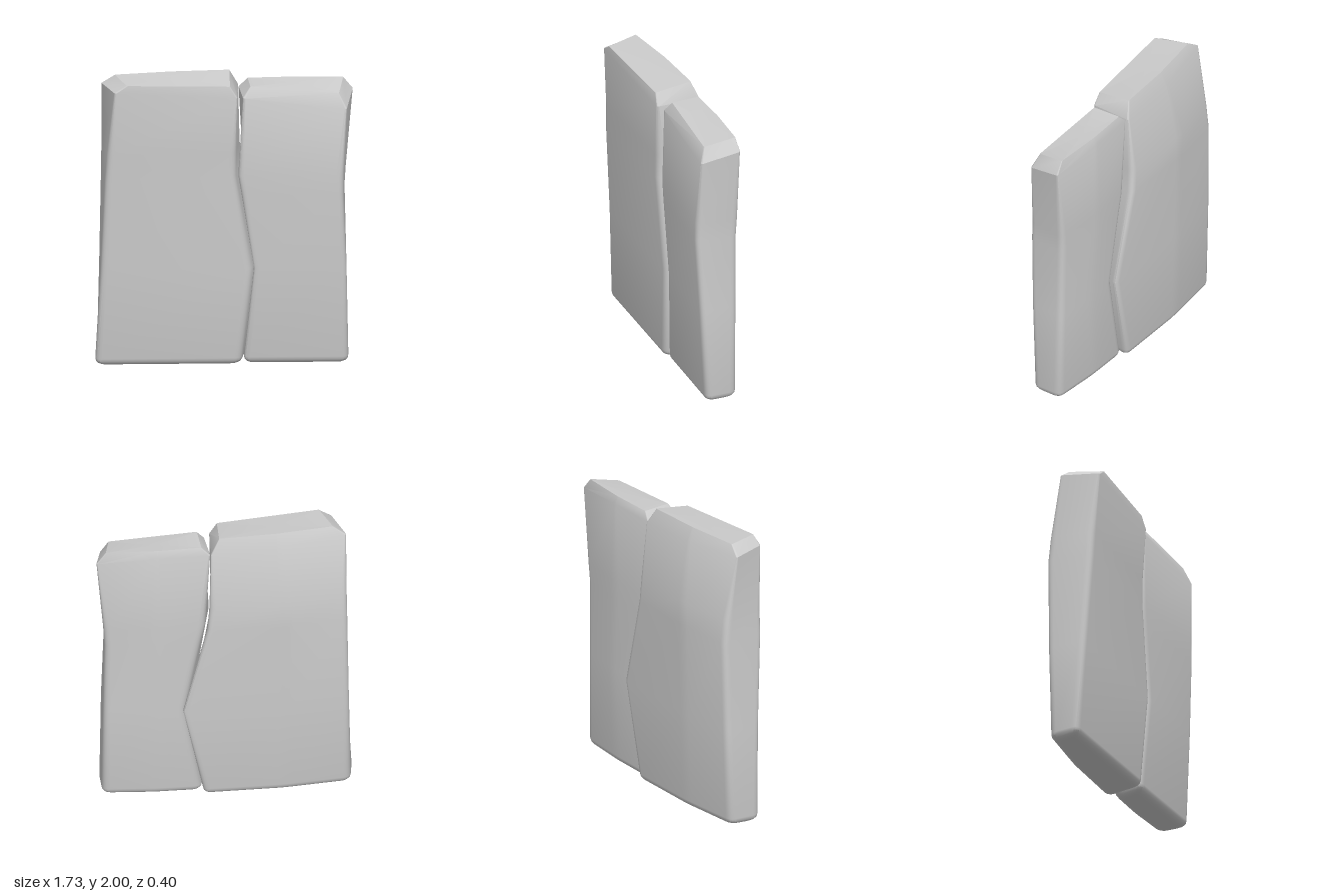
import * as THREE from 'three';
import { toCreasedNormals } from 'three/addons/utils/BufferGeometryUtils.js';

const V = (x, y, z) => new THREE.Vector3(x, y, z);
const at = (y, pts) => pts.map(([x, z]) => V(x, y, z));

// Replace every corner of a section by a short curve
function roundSection(corners, r) {
  const ring = [];
  const n = corners.length;
  corners.forEach((p, i) => {
    const toward = (q) => {
      const d = q.clone().sub(p);
      return p.clone().addScaledVector(d, Math.min(0.4, r / d.length()));
    };
    const curve = new THREE.QuadraticBezierCurve3(
      toward(corners[(i + n - 1) % n]), p, toward(corners[(i + 1) % n]));
    ring.push(...curve.getPoints(5));
  });
  return ring;
}

// Pull a section in toward its middle, at height y
function inset(corners, d, y) {
  const c = corners.reduce((s, p) => s.add(p), V(0, 0, 0)).divideScalar(corners.length);
  const pull = (a, m) => a + THREE.MathUtils.clamp(m - a, -d, d);
  return corners.map((p) => V(pull(p.x, c.x), y, pull(p.z, c.z)));
}

// Loft closed sections from bottom to top, with both ends capped
function loft(rings) {
  const pos = [];
  const tri = (...pts) => pts.forEach((p) => pos.push(p.x, p.y, p.z));
  const n = rings[0].length;
  const mid = (ring) => ring.reduce((s, p) => s.add(p), V(0, 0, 0)).divideScalar(n);
  const first = rings[0], last = rings[rings.length - 1];
  const low = mid(first), high = mid(last);
  for (let i = 0; i < n; i++) {
    const j = (i + 1) % n;
    for (let k = 0; k < rings.length - 1; k++) {
      const a = rings[k], b = rings[k + 1];
      tri(a[i], a[j], b[j]);
      tri(a[i], b[j], b[i]);
    }
    tri(low, first[j], first[i]);
    tri(high, last[i], last[j]);
  }
  const g = new THREE.BufferGeometry();
  g.setAttribute('position', new THREE.Float32BufferAttribute(pos, 3));
  return toCreasedNormals(g, 0.5);
}

// Slab: filleted foot, body sections, and a bevelled top
function slab(name, foot, body, shoulder, top) {
  const R = 0.05;
  const rings = [];
  for (let i = 0; i <= 4; i++) {
    const a = (i / 4) * Math.PI / 2;
    rings.push(roundSection(inset(foot, R * (1 - Math.sin(a)), R * (1 - Math.cos(a))), R));
  }
  body.forEach((s) => rings.push(roundSection(s, 0.045)));
  rings.push(roundSection(shoulder, 0.015), roundSection(top, 0.008));
  const mesh = new THREE.Mesh(loft(rings), new THREE.MeshStandardMaterial({ color: 0xcccccc }));
  mesh.name = name;
  return mesh;
}

export function createModel() {
  const group = new THREE.Group();
  group.name = 'splitSlab';

  // Corner order: front -x, front +x, back +x, back middle, back -x
  group.add(slab('wideSlab',
    at(0, [[-0.87, 0.1], [0.11, 0.12], [0.16, -0.17], [-0.4, -0.165], [-0.84, -0.12]]),
    [
      at(0.68, [[-0.83, 0.13], [0.17, 0.14], [0.3, -0.18], [-0.4, -0.185], [-0.83, -0.14]]),
      at(1.33, [[-0.8, 0.17], [0.065, 0.15], [0.13, -0.19], [-0.4, -0.2], [-0.82, -0.15]]),
      at(1.5, [[-0.785, 0.175], [0.07, 0.15], [0.115, -0.185], [-0.4, -0.2], [-0.82, -0.13]]),
    ],
    [V(-0.74, 1.94, 0.2), V(0.08, 1.88, 0.16), V(0.1, 1.89, -0.14), V(-0.36, 1.91, -0.12), V(-0.82, 1.94, -0.05)],
    [V(-0.66, 1.99, 0.195), V(0.03, 1.96, 0.15), V(0.04, 2, -0.1), V(-0.35, 2, -0.08), V(-0.73, 2, -0.03)]));

  group.add(slab('narrowSlab',
    at(0, [[0.12, 0.1], [0.825, 0.12], [0.825, -0.1], [0.46, -0.125], [0.16, -0.125]]),
    [
      at(0.68, [[0.18, 0.13], [0.81, 0.15], [0.815, -0.105], [0.5, -0.135], [0.28, -0.13]]),
      at(1.2, [[0.1, 0.135], [0.785, 0.175], [0.81, -0.11], [0.46, -0.14], [0.17, -0.13]]),
      at(1.33, [[0.08, 0.135], [0.785, 0.172], [0.82, -0.115], [0.46, -0.14], [0.14, -0.13]]),
    ],
    [V(0.12, 1.87, 0.13), V(0.81, 1.79, 0.15), V(0.865, 1.86, -0.11), V(0.46, 1.89, -0.135), V(0.1, 1.88, -0.12)],
    [V(0.17, 1.94, 0.09), V(0.76, 1.89, 0.11), V(0.8, 1.94, -0.1), V(0.46, 1.94, -0.115), V(0.16, 1.94, -0.105)]));

  return group;
}
